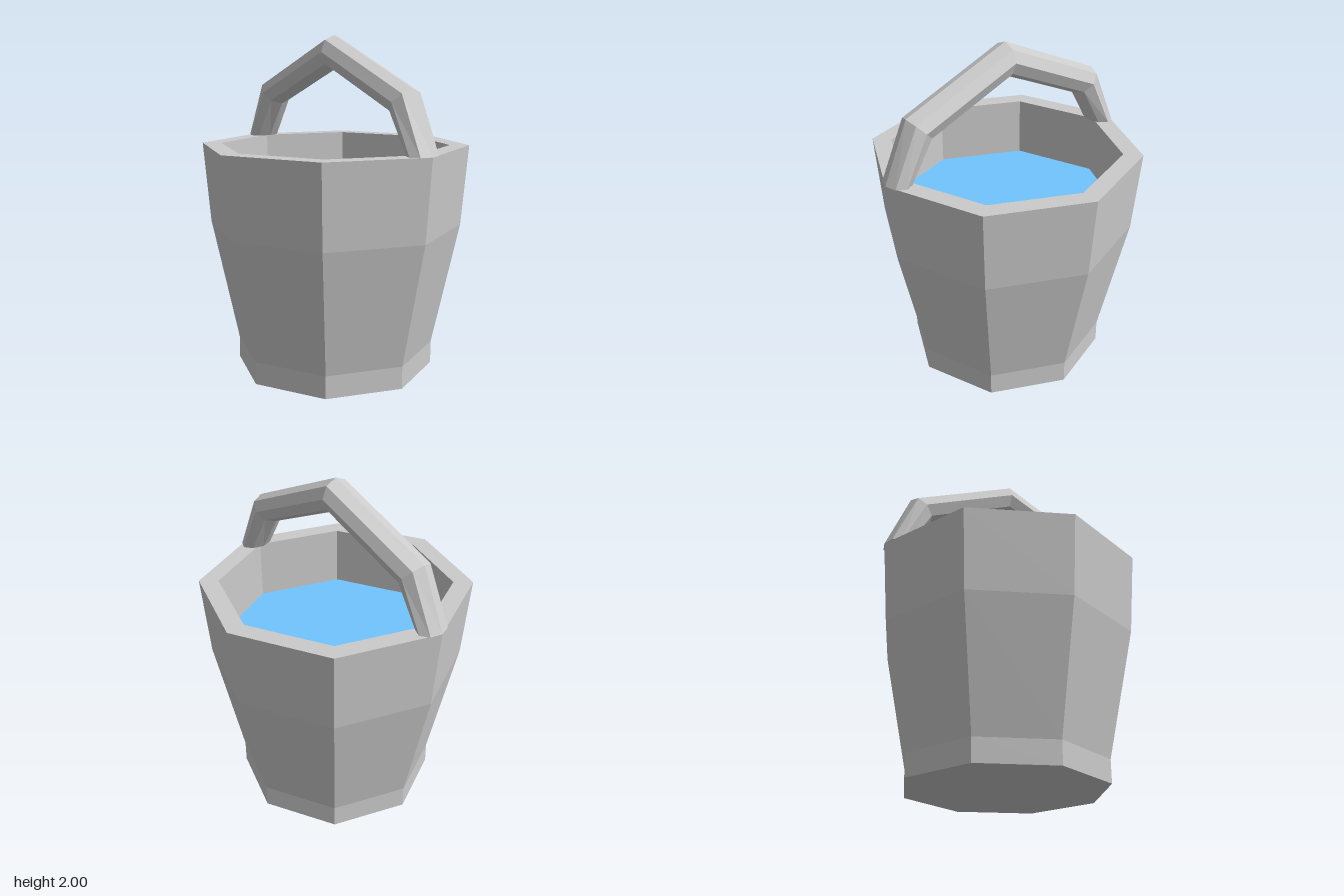
import * as THREE from 'three';

const SIDES = 8;

// Eight-sided bar swept along stations [x, y, nx, ny]: centre and in-plane half-depth
function makeBar(stations, halfWidth) {
  const pos = [], idx = [];
  for (const [x, y, nx, ny] of stations) {
    for (let j = 0; j < SIDES; j++) {
      const t = (j / SIDES) * Math.PI * 2;
      pos.push(x + nx * Math.cos(t), y + ny * Math.cos(t), halfWidth * Math.sin(t));
    }
  }
  const last = (stations.length - 1) * SIDES;
  for (let i = 0; i < last; i += SIDES) {
    for (let j = 0; j < SIDES; j++) {
      const k = (j + 1) % SIDES;
      idx.push(i + j, i + k, i + SIDES + j, i + k, i + SIDES + k, i + SIDES + j);
    }
  }
  // End caps
  for (let j = 1; j < SIDES - 1; j++) {
    idx.push(0, j + 1, j, last, last + j, last + j + 1);
  }
  const geo = new THREE.BufferGeometry();
  geo.setAttribute('position', new THREE.Float32BufferAttribute(pos, 3));
  geo.setIndex(idx);
  geo.computeVertexNormals();
  return geo;
}

export function createModel() {
  const group = new THREE.Group();
  const grey = new THREE.MeshStandardMaterial({ color: 0xcccccc, flatShading: true });
  const blue = new THREE.MeshStandardMaterial({ color: 0x70c4ff, flatShading: true });
  const add = (name, geo, mat) => {
    const mesh = new THREE.Mesh(geo, mat);
    mesh.name = name;
    group.add(mesh);
    return mesh;
  };

  // Bucket: base, foot, flared wall, flat rim and straight inner wall down to the water
  const waterY = 1.0, innerR = 0.685;
  const profile = [
    [0, 0], [0.6, 0], [0.6, 0.135], [0.76, 0.88], [0.8, 1.36], [innerR, 1.36], [innerR, waterY],
  ].map(([r, y]) => new THREE.Vector2(r, y));
  add('bucket', new THREE.LatheGeometry(profile, SIDES), grey);

  // Water surface
  const water = add('water', new THREE.CircleGeometry(innerR, SIDES).rotateX(-Math.PI / 2), blue);
  water.position.y = waterY;

  // Arched handle, right half mirrored to the left
  const half = [[0.725, 1.36, 0.075, 0], [0.585, 1.642, 0.066, 0.068]];
  const mirrored = half.map(([x, y, nx, ny]) => [-x, y, -nx, ny]);
  add('handle', makeBar([...mirrored, [0, 1.902, 0, 0.098], ...half.reverse()], 0.1), grey);

  return group;
}
